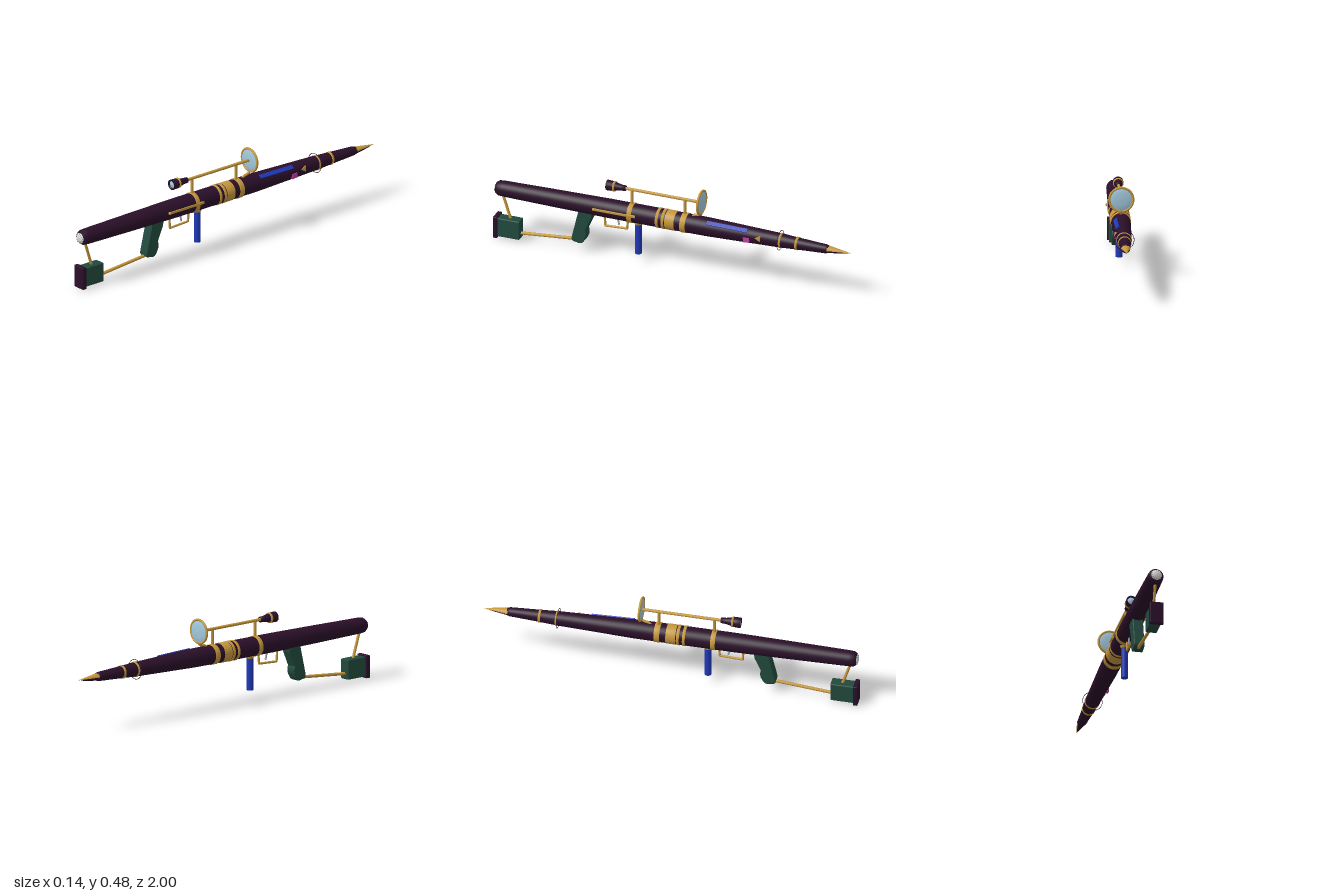
import * as THREE from 'three';
import { RoundedBoxGeometry } from 'three/addons/geometries/RoundedBoxGeometry.js';

const mat = (name, color, side = THREE.FrontSide) => {
  const m = new THREE.MeshStandardMaterial({ color, side });
  m.name = name;
  return m;
};

export function createModel() {
  const dark = mat('dark plum', 0x2a0f29);
  const gold = mat('gold', 0xc4973c, THREE.DoubleSide);
  const green = mat('dark green', 0x21493d);
  const blue = mat('blue', 0x2038b8);
  const glass = mat('pale blue glass', 0xa3c9de);
  const white = mat('white', 0xdcdad8);
  const pink = mat('pink', 0xc040a4);
  const silver = mat('silver', 0xa8a8b0);

  const model = new THREE.Group();
  const AXIS = 0.28;
  const SCOPE = 0.415;

  const add = (name, geo, material, x = 0, y = 0, z = 0) => {
    const m = new THREE.Mesh(geo, material);
    m.name = name;
    m.position.set(x, y, z);
    model.add(m);
    return m;
  };
  // lathe around the z axis, profile given as [radius, z] from back to front
  const turned = (pts, segs = 40) =>
    new THREE.LatheGeometry(pts.map(([r, z]) => new THREE.Vector2(r, z)), segs).rotateX(Math.PI / 2);
  // straight round rod between two points
  const rod = (name, a, b, r, material = gold) => {
    const A = new THREE.Vector3(...a), B = new THREE.Vector3(...b);
    const m = add(name, new THREE.CylinderGeometry(r, r, A.distanceTo(B), 16), material);
    m.position.copy(A).lerp(B, 0.5);
    m.quaternion.setFromUnitVectors(new THREE.Vector3(0, 1, 0), B.sub(A).normalize());
    return m;
  };

  // barrel
  const profile = [[0.020, -0.875], [0.024, -0.86], [0.031, -0.72], [0.038, -0.60], [0.044, -0.40],
    [0.050, -0.20], [0.051, 0], [0.051, 0.35], [0.047, 0.65], [0.042, 0.95], [0.040, 0.975], [0.030, 0.99]];
  add('barrel', turned([[0, -0.875], ...profile, [0, 0.99]]), dark, 0, AXIS);
  const radiusAt = (z) => {
    const i = Math.max(1, profile.findIndex((p) => p[1] >= z));
    const [r0, z0] = profile[i - 1], [r1, z1] = profile[i];
    return r0 + (r1 - r0) * (z - z0) / (z1 - z0);
  };
  // domed end cap with small dark slots
  add('endCap', turned([[0.030, 0.988], [0.026, 0.993], [0.018, 0.997], [0.009, 0.9995], [0, 1]]), white, 0, AXIS);
  for (let i = 0; i < 12; i++) {
    const a = (i / 12) * Math.PI * 2;
    const s = add('capSlot', new THREE.BoxGeometry(0.006, 0.002, 0.003), dark,
      Math.cos(a) * 0.023, AXIS + Math.sin(a) * 0.023, 0.9935);
    s.rotation.z = a;
  }

  // gold bands: [back z, front z, height above the barrel]
  for (const [z0, z1, h] of [[0.067, 0.082, 0.003], [0.035, 0.05, 0.003], [-0.022, 0.03, 0.002],
    [-0.085, -0.055, 0.003], [0.217, 0.242, 0.003], [-0.614, -0.604, 0.003], [-0.706, -0.694, 0.003]]) {
    const a = radiusAt(z0), b = radiusAt(z1);
    add('band', turned([[a - 0.003, z0], [a + h, z0], [b + h, z1], [b - 0.003, z1]]), gold, 0, AXIS);
  }
  add('thinHoop', new THREE.TorusGeometry(0.052, 0.0015, 8, 40), dark, 0, AXIS, -0.603);

  // nib: dark feed under a curved gold leaf
  add('nibFeed', turned([[0, -0.985], [0.007, -0.95], [0.017, -0.875], [0, -0.87]], 20), dark, 0, AXIS - 0.003);
  const leaf = new THREE.CylinderGeometry(0.001, 0.025, 0.13, 16, 6, true, -Math.PI / 2, Math.PI);
  leaf.rotateX(-Math.PI / 2);
  const lp = leaf.attributes.position;
  // swap to the upper half and flatten it
  for (let i = 0; i < lp.count; i++) lp.setY(i, Math.abs(lp.getY(i)) * 0.75);
  leaf.computeVertexNormals();
  add('nib', leaf, gold, 0, AXIS, -0.935);
  add('nibHole', new THREE.CylinderGeometry(0.003, 0.003, 0.004, 12), dark, 0, AXIS + 0.0065, -0.91).rotation.x = -0.14;

  // sight rail and posts
  rod('sightRail', [0, SCOPE, 0.3], [0, SCOPE, -0.16], 0.008);
  for (const z of [0.23, -0.067]) rod('sightPost', [0, AXIS + 0.045, z], [0, SCOPE, z], 0.008);
  const elbow = new THREE.CatmullRomCurve3([[0.36, -0.16], [0.348, -0.157], [0.34, -0.145], [0.334, -0.12], [0.325, -0.11]]
    .map(([y, z]) => new THREE.Vector3(0, y, z)));
  add('dishElbow', new THREE.TubeGeometry(elbow, 16, 0.007, 10), gold);

  // eyepiece
  add('eyepiece', turned([[0, 0.265], [0.015, 0.265], [0.016, 0.29], [0.027, 0.345], [0.028, 0.37],
    [0.021, 0.37], [0.02, 0.36], [0, 0.36]], 28), dark, 0, SCOPE);
  add('eyepieceBand', turned([[0.02, 0.323], [0.027, 0.323], [0.028, 0.333], [0.02, 0.333]], 28), gold, 0, SCOPE);
  add('eyepieceLens', turned([[0.021, 0.362], [0.013, 0.367], [0, 0.369]], 28), glass, 0, SCOPE);

  // round sight disc, domed on both faces
  add('discRim', new THREE.TorusGeometry(0.062, 0.0065, 12, 48), gold, 0, SCOPE, -0.16);
  add('discGlass', turned([[0, -0.008], [0.03, -0.007], [0.06, -0.003], [0.06, 0.003], [0.03, 0.007], [0, 0.008]]),
    glass, 0, SCOPE, -0.16);

  // side clip
  add('clipBar', new RoundedBoxGeometry(0.006, 0.014, 0.24, 2, 0.0028), gold, 0.055, 0.286, 0.312);
  add('clipBall', new THREE.SphereGeometry(0.008, 16, 12), gold, 0.055, 0.286, 0.425);
  add('clipFoot', new THREE.BoxGeometry(0.012, 0.014, 0.02), gold, 0.05, 0.286, 0.205);

  // small details on the barrel's left side
  const strip = new THREE.Group();
  strip.name = 'blueStrip';
  strip.position.y = AXIS;
  strip.rotation.z = -0.70;
  const stripMesh = new THREE.Mesh(new THREE.BoxGeometry(0.022, 0.009, 0.225), blue);
  stripMesh.position.set(0, radiusAt(-0.315), -0.315);
  stripMesh.rotation.x = -0.03;
  strip.add(stripMesh);
  model.add(strip);
  add('pinkPlate', new THREE.BoxGeometry(0.009, 0.026, 0.034), pink, 0.043, 0.268, -0.428).rotation.x = 0.1;
  add('goldStud', new THREE.CylinderGeometry(0.019, 0.019, 0.01, 3).rotateZ(Math.PI / 2), gold, 0.041, 0.288, -0.495);

  // pistol grip, drawn in (z, y) and extruded across x
  const grip = new THREE.Shape();
  grip.moveTo(0.518, 0.245);
  grip.lineTo(0.447, 0.245);
  grip.lineTo(0.452, 0.215);
  grip.lineTo(0.487, 0.135);
  grip.quadraticCurveTo(0.475, 0.11, 0.49, 0.085);
  grip.quadraticCurveTo(0.5, 0.06, 0.515, 0.06);
  grip.lineTo(0.55, 0.066);
  grip.quadraticCurveTo(0.56, 0.07, 0.555, 0.09);
  grip.closePath();
  const gripGeo = new THREE.ExtrudeGeometry(grip, { depth: 0.046, bevelThickness: 0.005, bevelSize: 0.004, bevelSegments: 2, curveSegments: 6 });
  gripGeo.translate(0, 0, -0.023).rotateY(-Math.PI / 2);
  add('pistolGrip', gripGeo, green);

  // trigger and guard
  const guard = [[0, 0.24, 0.385], [0, 0.175, 0.38], [0, 0.181, 0.258], [0, 0.24, 0.253]];
  for (let i = 0; i < 3; i++) rod('triggerGuard', guard[i], guard[i + 1], 0.006);
  for (const p of guard.slice(1, 3)) add('guardCorner', new THREE.SphereGeometry(0.006, 12, 8), gold, ...p);
  rod('trigger', [0, 0.235, 0.312], [0, 0.195, 0.303], 0.005, silver);

  // front handle
  add('frontHandle', new THREE.CylinderGeometry(0.018, 0.018, 0.175, 28), blue, 0, 0.1375, 0.195);
  add('handleCollar', new THREE.CylinderGeometry(0.024, 0.019, 0.014, 28), gold, 0, 0.227, 0.195);

  // shoulder stock
  add('stockBlock', new RoundedBoxGeometry(0.06, 0.106, 0.125, 3, 0.006), green, 0, 0.062, 0.915);
  add('buttPlate', new RoundedBoxGeometry(0.074, 0.122, 0.024, 2, 0.004), dark, 0, 0.061, 0.987);
  rod('upperStrut', [0, 0.25, 0.957], [0, 0.11, 0.912], 0.0075);
  rod('lowerStrut', [0, 0.038, 0.86], [0, 0.067, 0.54], 0.0085);

  return model;
}
